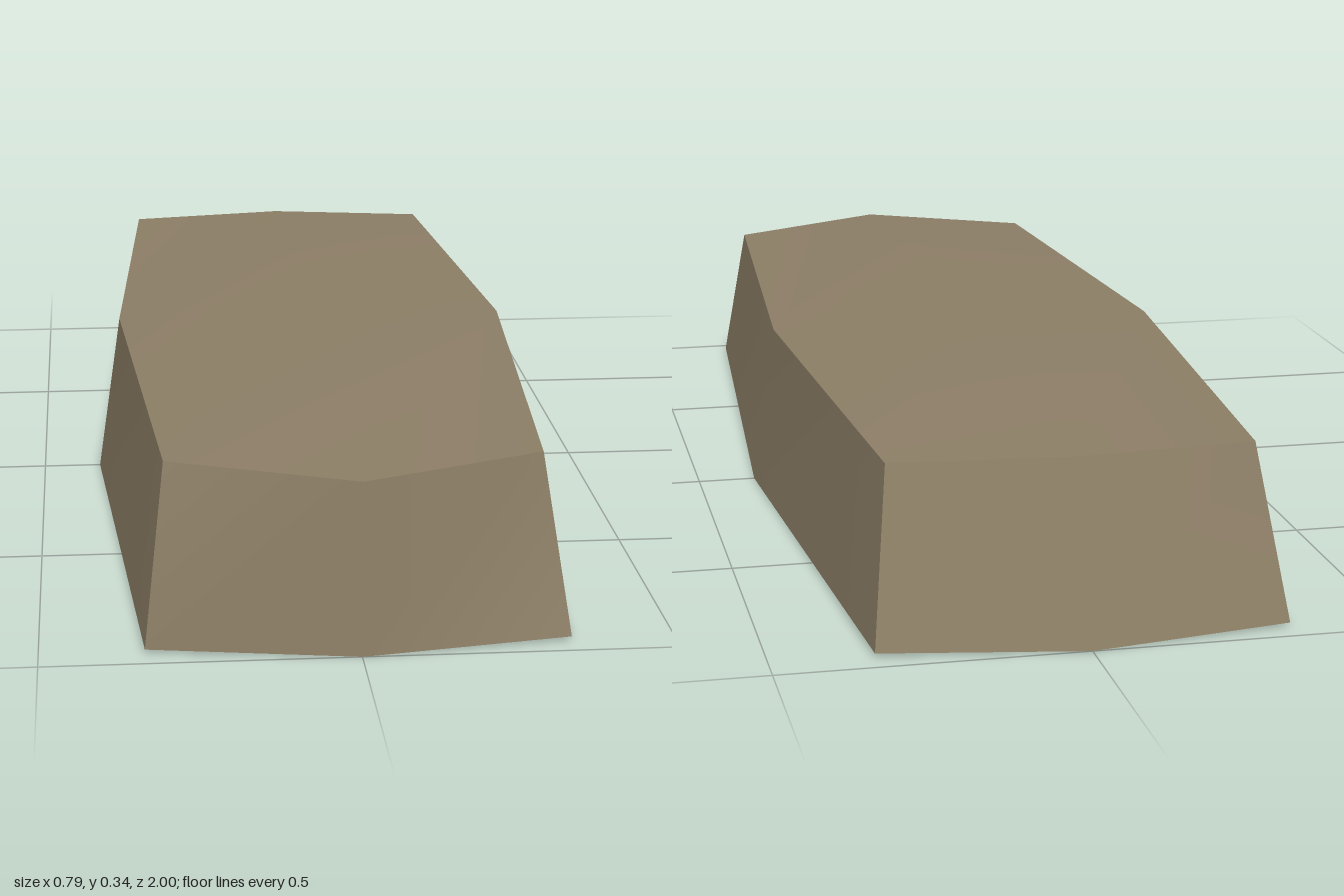
import * as THREE from 'three';
import { toCreasedNormals } from 'three/addons/utils/BufferGeometryUtils.js';

// Eight-point outline: front tip, corners, side middles and back tip,
// running anticlockwise as seen from above.
function ring({ cornerX, cornerZ, sideX, front, back, cornerY, midY }) {
  const half = [
    [0, midY, front],
    [cornerX, cornerY, cornerZ],
    [sideX, midY, 0],
    [cornerX, cornerY, -cornerZ],
    [0, midY, -back],
  ];
  const mirrored = half.slice(1, 4).reverse().map(([x, y, z]) => [-x, y, z]);
  return [...half, ...mirrored];
}

// Band of quads between two rings, all split along the same diagonal.
function band(lower, upper) {
  return lower.flatMap((a, i) => {
    const j = (i + 1) % lower.length;
    return [[a, lower[j], upper[j]], [a, upper[j], upper[i]]];
  });
}

// Four quads from an outline to its peak, all split along the same diagonal.
function cap(r, peak) {
  return [0, 2, 4, 6].flatMap((i) => {
    const [a, b, c] = [r[i], r[i + 1], r[(i + 2) % 8]];
    return i % 4 === 0
      ? [[a, b, c], [a, c, peak]]
      : [[a, b, peak], [b, c, peak]];
  });
}

const flip = (faces) => faces.map(([a, b, c]) => [a, c, b]);

export function createModel() {
  const group = new THREE.Group();
  group.name = 'hollowCover';
  const material = new THREE.MeshStandardMaterial({ color: 0x8b7d65 });

  const addPart = (name, faces) => {
    const geo = new THREE.BufferGeometry();
    geo.setAttribute('position', new THREE.Float32BufferAttribute(faces.flat(2), 3));
    const mesh = new THREE.Mesh(toCreasedNormals(geo, 0.95), material);
    mesh.name = name;
    group.add(mesh);
  };

  const innerTop = ring({ cornerX: 0.242, cornerZ: 0.815, sideX: 0.27, front: 0.955, back: 0.852, cornerY: 0.266, midY: 0.273 });
  const innerRim = ring({ cornerX: 0.283, cornerZ: 0.9, sideX: 0.34, front: 0.94, back: 0.94, cornerY: 0.006, midY: 0 });
  const outerRim = ring({ cornerX: 0.335, cornerZ: 0.957, sideX: 0.397, front: 1, back: 1, cornerY: 0.006, midY: 0 });
  const outerTop = ring({ cornerX: 0.3, cornerZ: 0.86, sideX: 0.355, front: 1, back: 0.898, cornerY: 0.281, midY: 0.285 });

  // Sloping walls with a shallow peaked top
  addPart('outerShell', [...band(outerRim, outerTop), ...cap(outerTop, [0, 0.335, 0])]);

  // Hollow underside
  addPart('innerShell', flip([...band(innerRim, innerTop), ...cap(innerTop, [0, 0.31, 0])]));

  // Flat edge joining the two shells
  addPart('bottomRim', band(innerRim, outerRim));

  return group;
}
